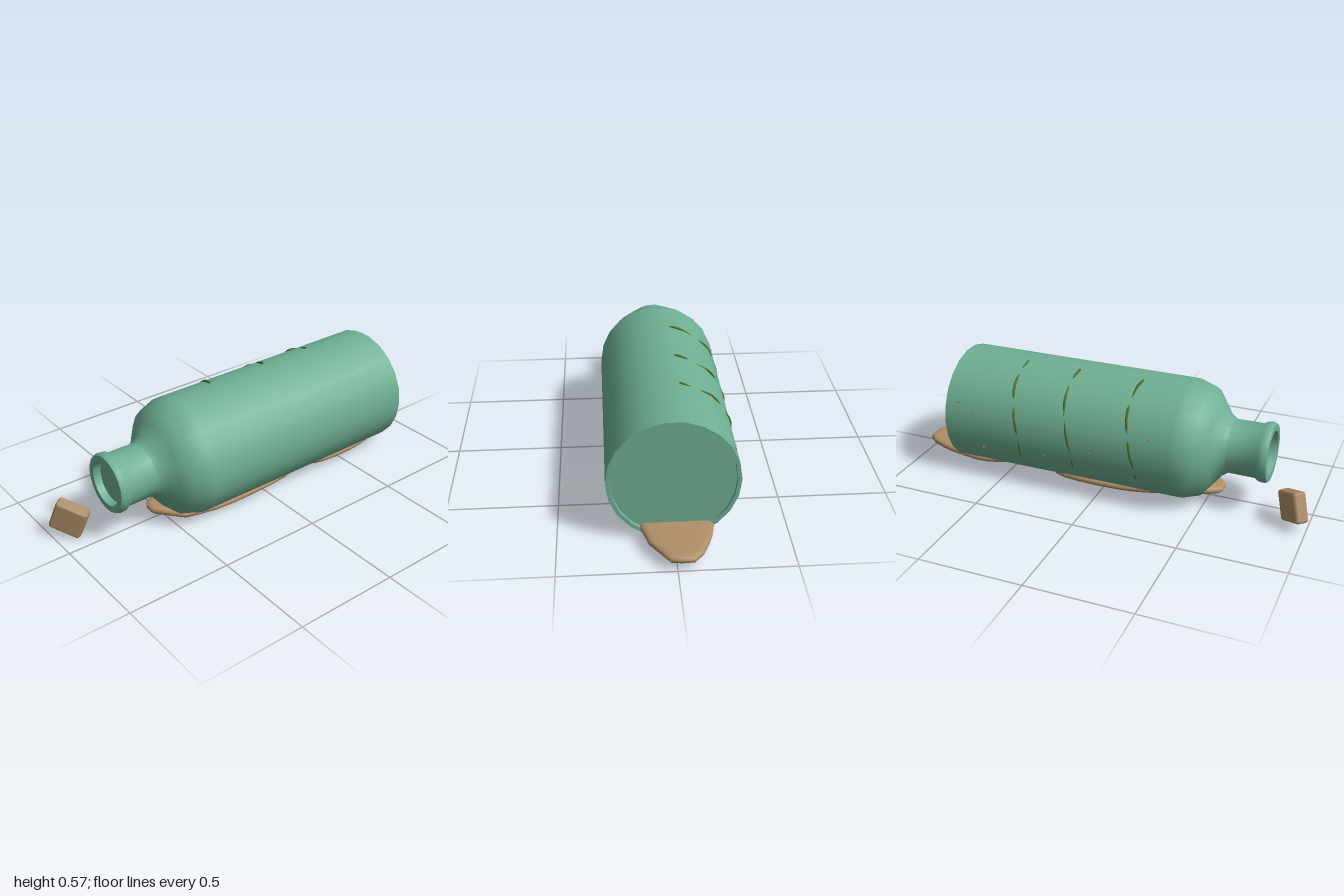
import * as THREE from 'three';
import { toCreasedNormals } from 'three/addons/utils/BufferGeometryUtils.js';
import { RoundedBoxGeometry } from 'three/addons/geometries/RoundedBoxGeometry.js';

const V2 = (p) => new THREE.Vector2(p[0], p[1]);
const R = 0.287; // bottle radius, also the height of its axis

export function createModel() {
  const group = new THREE.Group();
  const glass = new THREE.MeshStandardMaterial({ color: 0x6fb094 });
  glass.name = 'greenGlass';
  const sand = new THREE.MeshStandardMaterial({ color: 0xb08f68 });
  sand.name = 'sandBrown';
  const moss = new THREE.MeshStandardMaterial({ color: 0x4f6f24 });
  moss.name = 'mossGreen';
  const shell = new THREE.MeshStandardMaterial({ color: 0xa8705c });
  shell.name = 'barnaclePink';

  const add = (name, geometry, material) => {
    const mesh = new THREE.Mesh(geometry, material);
    mesh.name = name;
    group.add(mesh);
    return mesh;
  };

  // Bottle: [radius, x] from the mouth, over the shoulder, to the recessed base
  const profile = [
    [0, -0.755], [0.1, -0.755], [0.105, -0.79], [0.136, -0.79], [0.143, -0.775],
    [0.141, -0.75], [0.129, -0.73], [0.128, -0.6], [0.152, -0.565], [0.2, -0.53],
    [0.258, -0.485], [0.285, -0.405], [R, -0.38], [R, 0.77], [0.27, 0.77],
    [0.268, 0.757], [0, 0.757],
  ].map(V2);
  const bottleGeo = new THREE.LatheGeometry(profile, 22).rotateZ(-Math.PI / 2);
  const bottle = add('bottle', toCreasedNormals(bottleGeo, 0.65), glass);
  bottle.position.y = R;

  // Sand patches: flat pillows from [x, z] outlines
  const patch = (name, outline) => {
    const curve = new THREE.SplineCurve(outline.map(([x, z]) => new THREE.Vector2(x, -z)));
    const shape = new THREE.Shape(curve.getPoints(outline.length * 2));
    const geo = new THREE.ExtrudeGeometry(shape, {
      depth: 0.009, bevelThickness: 0.013, bevelSize: 0.022, bevelOffset: -0.022,
      bevelSegments: 2, steps: 1,
    }).rotateX(-Math.PI / 2).translate(0, 0.053, 0);
    add(name, toCreasedNormals(geo, 0.8), sand);
  };
  patch('frontSandPatch', [
    [-0.57, 0.03], [-0.57, -0.03], [-0.5, -0.08], [-0.28, -0.16], [-0.12, -0.195],
    [0.1, -0.195], [0.24, -0.165], [0.33, -0.05], [0.28, 0.08], [0.16, 0.165],
    [-0.05, 0.19], [-0.3, 0.19], [-0.47, 0.15],
  ]);
  patch('baseSandPatch', [
    [1, 0.03], [1, -0.08], [0.88, -0.145], [0.77, -0.172], [0.64, -0.19],
    [0.53, -0.16], [0.36, -0.1], [0.22, 0], [0.28, 0.15], [0.4, 0.188],
    [0.6, 0.185], [0.74, 0.15], [0.88, 0.112],
  ]);

  // Cork lying by the mouth
  const cork = add('cork', new RoundedBoxGeometry(0.155, 0.145, 0.065, 1, 0.014), sand);
  cork.position.set(-0.925, 0.1, -0.115);
  cork.rotation.set(0, -0.835, -0.38);

  // A point on the bottle, at an angle from the top towards the back
  const onBottle = (x, angle, r) =>
    new THREE.Vector3(x, R + r * Math.cos(angle), -r * Math.sin(angle));

  // Moss strands, weaving in and out of the glass
  [-0.17, 0.145, 0.415].forEach((x, k) => {
    const pts = [];
    for (let i = 0; i <= 20; i++) {
      const t = i / 20;
      const angle = 0.17 + t * 1.85;
      const drift = 0.018 * Math.sin(t * 5 + k * 0.3) - 0.03 * t * t;
      pts.push(onBottle(x + drift, angle, R - 0.004 + 0.005 * Math.sin(t * 19 + k)));
    }
    const curve = new THREE.CatmullRomCurve3(pts);
    add('mossStrand', new THREE.TubeGeometry(curve, 48, 0.0065, 5), moss);
  });

  // Tiny barnacles on the back: [x, angle]
  [[0.7, 1.18], [0.62, 1.31], [0.58, 1.98], [0.01, 1.66], [0.02, 2.1], [-0.28, 1.24], [0.25, 1.9]]
    .forEach(([x, angle]) => {
      const dot = add('barnacle', new THREE.IcosahedronGeometry(0.007, 0), shell);
      dot.position.copy(onBottle(x, angle, R - 0.003));
    });

  return group;
}
